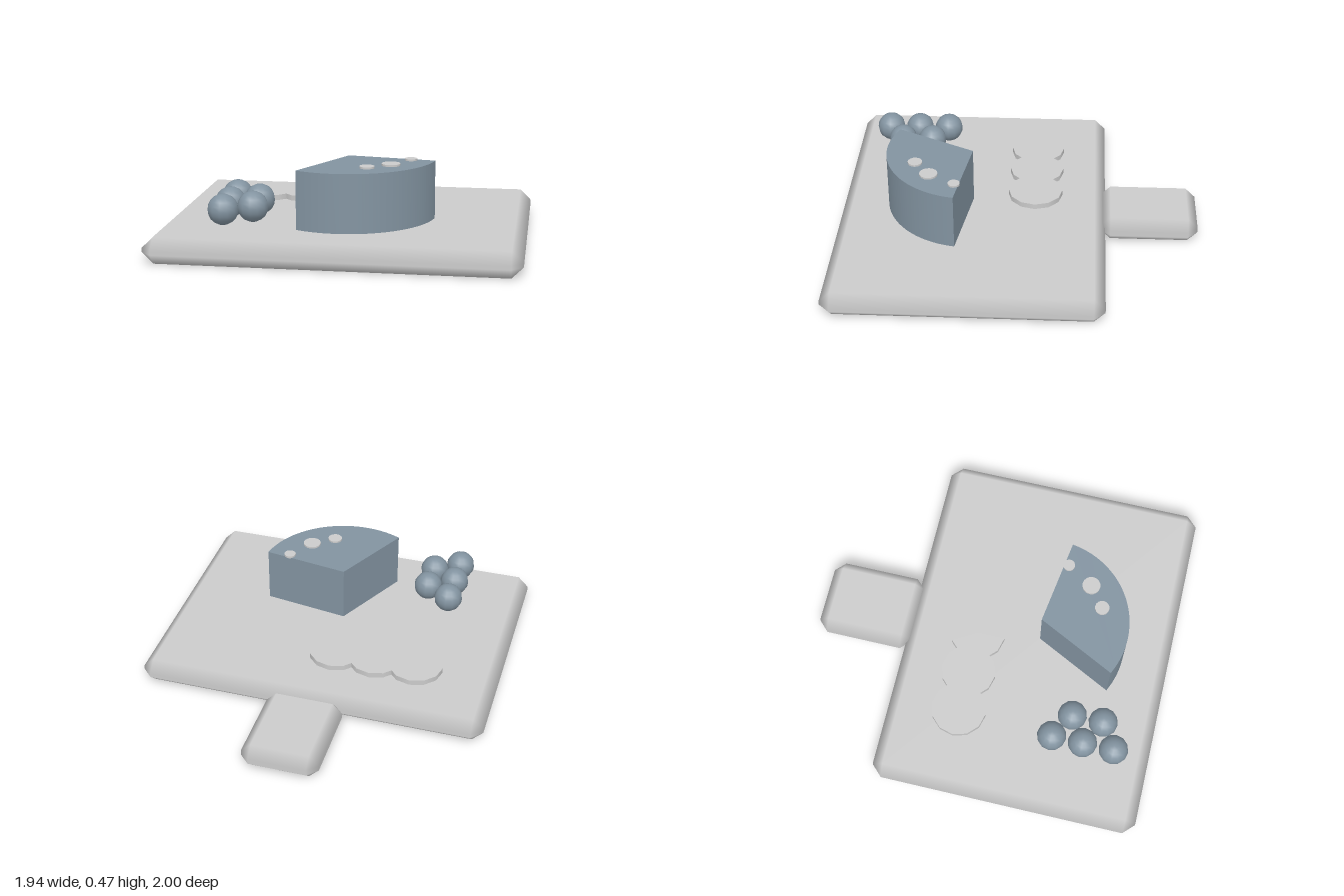
import * as THREE from 'three';
import { ConvexGeometry } from 'three/addons/geometries/ConvexGeometry.js';

const grey = new THREE.MeshStandardMaterial({ color: 0xcccccc });
const blue = new THREE.MeshStandardMaterial({ color: 0x8293a0 });

// Box with chamfered edges; flat faces whose normals blend across the chamfers
function chamferedBox(w, h, d, c) {
  const half = [w / 2, h / 2, d / 2];
  const points = [];
  for (const sx of [-1, 1]) for (const sy of [-1, 1]) for (const sz of [-1, 1])
    for (let axis = 0; axis < 3; axis++) {
      const p = [sx, sy, sz].map((s, i) => s * (half[i] - (i === axis ? 0 : c)));
      points.push(new THREE.Vector3(...p));
    }
  const geometry = new ConvexGeometry(points);
  const pos = geometry.attributes.position;
  const normal = geometry.attributes.normal;
  for (let i = 0; i < pos.count; i++) {
    const p = [pos.getX(i), pos.getY(i), pos.getZ(i)];
    normal.setXYZ(i, ...p.map((v, a) => (Math.abs(Math.abs(v) - half[a]) < 1e-4 ? Math.sign(v) : 0)));
  }
  return geometry;
}

// Wedge of a round: a circular sector extruded upwards, with its tip at the origin
function wedge(radius, height, start, sweep) {
  const shape = new THREE.Shape();
  shape.moveTo(0, 0);
  shape.absarc(0, 0, radius, start, start + sweep, false);
  shape.lineTo(0, 0);
  const geometry = new THREE.ExtrudeGeometry(shape, { depth: height, bevelEnabled: false, curveSegments: 24 });
  return geometry.rotateX(-Math.PI / 2);
}

export function createModel() {
  const model = new THREE.Group();
  const add = (parent, name, geometry, material, x, y, z) => {
    const mesh = new THREE.Mesh(geometry, material);
    mesh.name = name;
    mesh.position.set(x, y, z);
    parent.add(mesh);
    return mesh;
  };
  const addGroup = (name) => {
    const group = new THREE.Group();
    group.name = name;
    model.add(group);
    return group;
  };

  // Serving board and its handle
  add(model, 'board', chamferedBox(1.94, 0.14, 1.485, 0.06), grey, 0, 0.07, 0.257);
  add(model, 'handle', chamferedBox(0.425, 0.14, 0.54, 0.055), grey, 0, 0.07, -0.73);

  // Cheese wedge with shallow discs for its holes
  const cheese = addGroup('cheese');
  const start = -Math.PI / 2 - 0.464;
  add(cheese, 'cheeseWedge', wedge(0.48, 0.315, start, Math.PI * 0.6), blue, 0, 0.14, 0.26);
  for (const [x, z, r] of [[0.14, 0.568, 0.04], [0.255, 0.483, 0.05], [0.345, 0.338, 0.033]])
    add(cheese, 'cheeseHole', new THREE.CylinderGeometry(r, r, 0.012, 16), grey, x, 0.459, z);

  // Row of overlapping crackers
  const crackers = addGroup('crackers');
  for (let i = 0; i < 3; i++)
    add(crackers, 'cracker', new THREE.CylinderGeometry(0.153, 0.153, 0.03, 12), grey, -0.515 + i * 0.228, 0.155, -0.088);

  // Bunch of grapes in two staggered rows
  const grapes = addGroup('grapes');
  const grape = new THREE.SphereGeometry(0.081, 12, 10);
  for (let i = 0; i < 5; i++)
    add(grapes, 'grape', grape, blue, i % 2 ? -0.437 : -0.575, 0.263, 0.45 + i * 0.086);

  return model;
}
